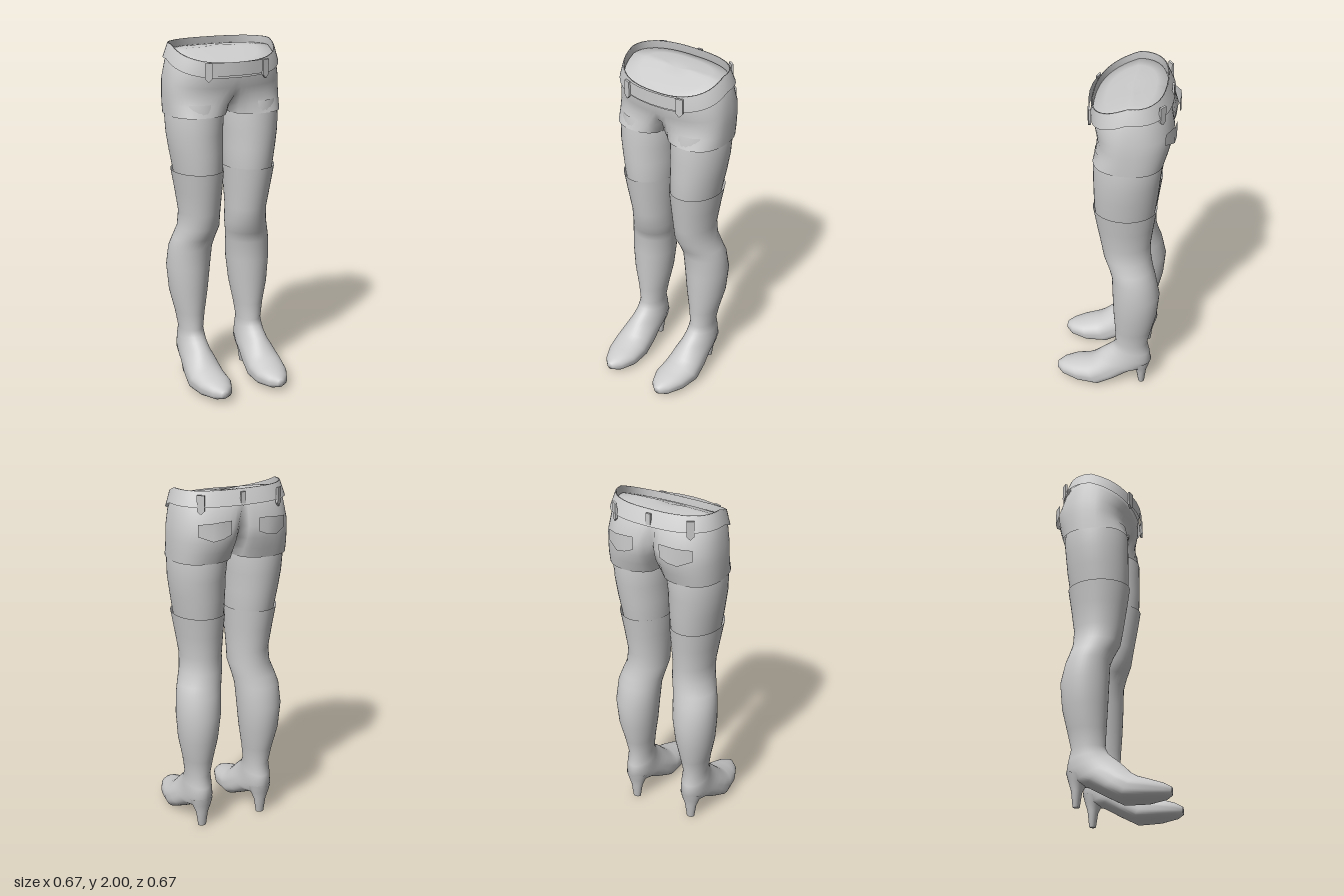
import * as THREE from 'three';

const N = 40;
const V = (x, y, z) => new THREE.Vector3(x, y, z);

// Skin a list of closed rings, optionally closing the ends
function loft(rings, capTop = false, capEnd = false) {
  const pos = [], idx = [], n = rings[0].length;
  rings.forEach(r => r.forEach(p => pos.push(p.x, p.y, p.z)));
  for (let i = 0; i < rings.length - 1; i++)
    for (let j = 0; j < n; j++) {
      const k = (j + 1) % n, a = i * n + j, b = i * n + k, c = a + n, d = b + n;
      idx.push(a, c, b, b, c, d);
    }
  const cap = (i, flip) => {
    const c = rings[i].reduce((s, p) => s.add(p), V(0, 0, 0)).divideScalar(n);
    const m = pos.length / 3;
    pos.push(c.x, c.y, c.z);
    for (let j = 0; j < n; j++) {
      const a = i * n + j, b = i * n + (j + 1) % n;
      flip ? idx.push(m, b, a) : idx.push(m, a, b);
    }
  };
  if (capTop) cap(0, false);
  if (capEnd) cap(rings.length - 1, true);
  return geometry(pos, idx);
}

function geometry(pos, idx) {
  const g = new THREE.BufferGeometry();
  g.setAttribute('position', new THREE.Float32BufferAttribute(pos, 3));
  g.setIndex(idx);
  g.computeVertexNormals();
  return g;
}

// Limb ring spanning a front point and a back point; flat squares off the back half
function limbRing(side, [zf, yf, zb, yb, xc, hw, flat = 1]) {
  return Array.from({ length: N }, (_, j) => {
    const a = j / N * Math.PI * 2;
    let c = Math.cos(a), s = Math.sin(a);
    if (c < 0) {
      c = -Math.pow(-c, flat);
      s = Math.sign(s) * Math.pow(Math.abs(s), flat);
    }
    return V(side * xc + hw * s, (yf + yb) / 2 + c * (yf - yb) / 2, (zf + zb) / 2 + c * (zf - zb) / 2);
  });
}
const limb = (side, rows, top, end) => loft(rows.map(r => limbRing(side, r)), top, end);

// Hip ring: one rounded outline that pinches into two lobes (kf in front, kb behind)
const ZC = -0.09;
const rim = z => Math.min(2, 1.91 + (0.12 - z) * 0.42);
const round = (u, n) => Math.pow(Math.max(0, 1 - Math.pow(Math.abs(u), n)), 1 / n);
function hipRing([y, hx, zf, zb, kf = 0, kb = 0, tilt = 1, scale = 1]) {
  return Array.from({ length: 64 }, (_, j) => {
    const a = j / 64 * Math.PI * 2, x = Math.sin(a) * hx, front = Math.cos(a) > 0;
    const u = Math.abs(x) / hx;
    const h = THREE.MathUtils.lerp(round(u, 2.5), round((u - 0.5) * 2, 2.4), front ? kf : kb);
    const z = ZC + h * scale * (front ? zf - ZC : zb - ZC);
    return V(x * scale, y + tilt * (rim(z) - 2), z);
  });
}

// Thin patch from columns of [x, z, top y, bottom y]
function patch(cols) {
  const pos = [], idx = [];
  cols.forEach(([x, z, t, b], i) => {
    pos.push(x, t, z, x, b, z);
    if (i) idx.push(2 * i - 2, 2 * i - 1, 2 * i, 2 * i, 2 * i - 1, 2 * i + 1);
  });
  return geometry(pos, idx);
}

export function createModel() {
  const model = new THREE.Group();
  const mat = new THREE.MeshStandardMaterial({ color: 0xcccccc, side: THREE.DoubleSide });
  const add = (name, geo) => {
    const m = new THREE.Mesh(geo, mat);
    m.name = name;
    model.add(m);
    return m;
  };

  // Hips with a gently domed top inside the waistband
  const waist = [0.295, 0.115, -0.265, 0, 0, 1];
  add('hips', loft([
    [1.97, ...waist, 0.3],
    [1.967, ...waist, 0.7],
    [1.96, ...waist, 1],
    [1.90, 0.32, 0.115, -0.30, 0, 0.05, 0.9],
    [1.80, 0.335, 0.10, -0.328, 0, 0.25, 0.4],
    [1.73, 0.337, 0.092, -0.32, 0.05, 0.4, 0.1],
    [1.67, 0.337, 0.095, -0.30, 0.4, 0.7, 0],
    [1.61, 0.335, 0.102, -0.277, 1, 1, 0],
  ].map(hipRing), true));

  // Waistband
  add('waistband', loft([
    [1.92, 0.305, 0.115, -0.285],
    [2.0, 0.297, 0.118, -0.268],
    [2.0, 0.305, 0.125, -0.275],
    [1.92, 0.33, 0.128, -0.31],
  ].map(hipRing)));

  // Front belt panel
  add('beltPanel', patch([-0.16, -0.08, 0, 0.08, 0.16].map(x =>
    [x, 0.142 - x * x * 0.9, 1.915, 1.84])));

  // Belt loops with pointed lower ends
  const tab = new THREE.Shape([[-0.02, 0.05], [-0.02, -0.035], [0, -0.055], [0.02, -0.035], [0.02, 0.05]]
    .map(([x, y]) => new THREE.Vector2(x, y)));
  const loopGeo = new THREE.ExtrudeGeometry(tab, { depth: 0.012, bevelEnabled: false });
  const beltLoop = (x, y, z, ry, s = 1) => {
    const m = add('beltLoop', loopGeo);
    m.position.set(x, y, z);
    m.rotation.y = ry;
    m.scale.set(s, s, 1);
  };
  beltLoop(0, 1.955, -0.295, Math.PI, 0.7);

  for (const s of [1, -1]) {
    beltLoop(s * 0.17, 1.865, 0.113, s * 0.3);
    beltLoop(s * 0.225, 1.935, -0.262, Math.PI - s * 0.65);

    // Back pocket
    add('backPocket', patch([
      [0.08, -0.333, 1.85, 1.775],
      [0.13, -0.337, 1.85, 1.755],
      [0.185, -0.33, 1.845, 1.745],
      [0.255, -0.288, 1.835, 1.77],
    ].map(([x, ...r]) => [s * x, ...r])));

    // Thigh
    add('thigh', limb(s, [
      [0.09, 1.68, -0.26, 1.68, 0.17, 0.155],
      [0.10, 1.61, -0.273, 1.61, 0.17, 0.164],
      [0.102, 1.5, -0.262, 1.5, 0.172, 0.157],
      [0.102, 1.4, -0.253, 1.4, 0.165, 0.149],
      [0.10, 1.29, -0.238, 1.29, 0.157, 0.138],
      [0.085, 1.18, -0.22, 1.18, 0.153, 0.122],
    ]));

    // Tall boot: shaft, knee, calf, ankle and foot in one skin
    add('boot', limb(s, [
      [0.108, 1.29, -0.247, 1.29, 0.16, 0.147],
      [0.09, 1.17, -0.23, 1.17, 0.154, 0.132],
      [0.068, 1.04, -0.214, 1.04, 0.148, 0.117],
      [0.052, 0.95, -0.218, 0.95, 0.151, 0.12],
      [0.02, 0.88, -0.232, 0.88, 0.17, 0.125],
      [0.0, 0.82, -0.25, 0.82, 0.184, 0.128],
      [-0.004, 0.7, -0.275, 0.7, 0.192, 0.127],
      [-0.01, 0.55, -0.262, 0.55, 0.194, 0.112],
      [-0.018, 0.42, -0.232, 0.42, 0.191, 0.085],
      [-0.022, 0.32, -0.21, 0.32, 0.19, 0.07],
      [-0.005, 0.285, -0.225, 0.25, 0.19, 0.076],
      [0.02, 0.262, -0.235, 0.18, 0.19, 0.08],
      [0.06, 0.23, -0.19, 0.12, 0.19, 0.085],
      [0.09, 0.20, -0.12, 0.11, 0.19, 0.092, 0.8],
      [0.125, 0.165, -0.03, 0.06, 0.191, 0.102, 0.65],
      [0.16, 0.143, 0.07, 0.008, 0.191, 0.108, 0.6],
      [0.23, 0.122, 0.2, 0.008, 0.182, 0.098, 0.6],
      [0.295, 0.102, 0.3, 0.02, 0.179, 0.062, 0.7],
      [0.335, 0.08, 0.335, 0.035, 0.18, 0.022],
    ], false, true));

    // Tapered heel
    add('heel', limb(s, [
      [-0.10, 0.15, -0.235, 0.19, 0.19, 0.066],
      [-0.13, 0.115, -0.222, 0.14, 0.19, 0.052],
      [-0.148, 0.08, -0.207, 0.09, 0.19, 0.036],
      [-0.16, 0, -0.197, 0, 0.19, 0.024],
    ], false, true));
  }
  return model;
}
